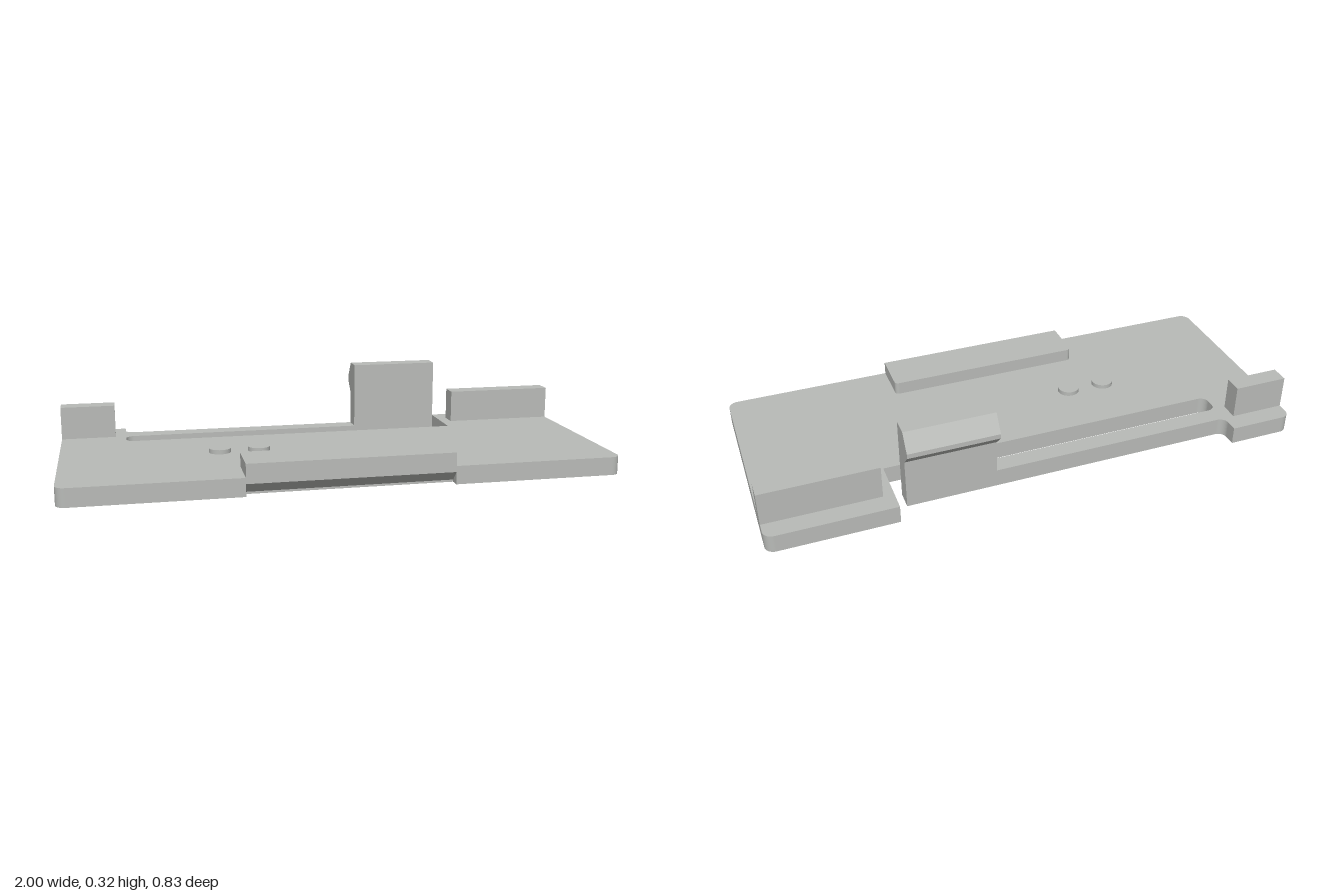
import * as THREE from 'three';

const BASE = 0.067;             // plate thickness
const RAIL = [-0.343, -0.276];  // z range shared by the strip, clip and end walls

export function createModel() {
  const group = new THREE.Group();
  const grey = new THREE.MeshStandardMaterial({ color: 0xb9bbb8 });
  grey.name = 'light grey';

  const add = (name, geometry) => {
    const mesh = new THREE.Mesh(geometry, grey);
    mesh.name = name;
    group.add(mesh);
    return mesh;
  };

  // Outline of [x, z, cornerRadius] points, anticlockwise seen from above
  const outline = (points) => {
    const shape = new THREE.Shape();
    const v = points.map(([x, z]) => new THREE.Vector2(x, -z));
    const n = v.length;
    v.forEach((p, i) => {
      const r = points[i][2] || 0;
      const toward = (q) => p.clone().add(q.clone().sub(p).setLength(r));
      const a = r ? toward(v[(i + n - 1) % n]) : p;
      if (i === 0) shape.moveTo(a.x, a.y);
      else shape.lineTo(a.x, a.y);
      if (r) {
        const b = toward(v[(i + 1) % n]);
        const c = a.clone().add(b).sub(p); // centre of a right-angled fillet
        const turn = (p.x - a.x) * (b.y - p.y) - (p.y - a.y) * (b.x - p.x);
        shape.absarc(c.x, c.y, r, Math.atan2(a.y - c.y, a.x - c.x),
          Math.atan2(b.y - c.y, b.x - c.x), turn < 0);
      }
    });
    shape.closePath();
    return shape;
  };

  const slab = (name, points, y0, y1) => {
    const geometry = new THREE.ExtrudeGeometry(outline(points),
      { depth: y1 - y0, bevelEnabled: false, curveSegments: 10 });
    geometry.rotateX(-Math.PI / 2).translate(0, y0, 0);
    return add(name, geometry);
  };

  // Prism along x from a profile of [z, y] points
  const prism = (name, profile, x0, x1) => {
    const shape = new THREE.Shape(profile.map(([z, y]) => new THREE.Vector2(-z, y)));
    const geometry = new THREE.ExtrudeGeometry(shape, { depth: x1 - x0, bevelEnabled: false });
    geometry.rotateY(Math.PI / 2).translate(x0, 0, 0);
    return add(name, geometry);
  };

  // Plate with the long slot, springy strip and front recess
  slab('basePlate', [
    [-1, 0.415, 0.035], [-0.372, 0.415], [-0.372, 0.38], [0.372, 0.38], [0.372, 0.415],
    [1, 0.415, 0.035], [1, -0.415, 0.035], [0.54, -0.415], [0.54, -0.192],
    [-0.755, -0.192, 0.03], [-0.755, RAIL[1], 0.03], [0.498, RAIL[1]],
    [0.498, RAIL[0]], [-0.755, RAIL[0], 0.03], [-0.755, -0.415], [-1, -0.415, 0.035],
  ], 0, BASE);

  // Lip over the recess, sloping underneath
  prism('frontLip', [[0.38, 0.008], [0.415, 0.045], [0.415, BASE], [0.38, BASE]], -0.372, 0.372);

  // Raised bar along the front
  slab('frontBar', [
    [-0.372, 0.415], [0.372, 0.415], [0.372, 0.25, 0.015], [-0.372, 0.25, 0.015],
  ], BASE, 0.116);

  // End walls
  for (const [name, x0, x1] of [['rightWall', -1, -0.795], ['leftWall', 0.58, 1]]) {
    prism(name, [[RAIL[1], BASE], [RAIL[1], 0.192], [RAIL[0], 0.192], [RAIL[0], BASE]], x0, x1);
  }

  // Clip with a hooked head
  prism('clip', [
    [RAIL[1], BASE], [RAIL[1], 0.318], [RAIL[0], 0.318], [-0.387, 0.256],
    [-0.387, 0.238], [RAIL[0], 0.192], [RAIL[0], BASE],
  ], 0.165, 0.498);

  // Two low studs
  for (const x of [-0.42, -0.275]) {
    const stud = add('stud', new THREE.CylinderGeometry(0.041, 0.041, 0.016, 40));
    stud.position.set(x, BASE + 0.008, 0.042);
  }

  return group;
}
